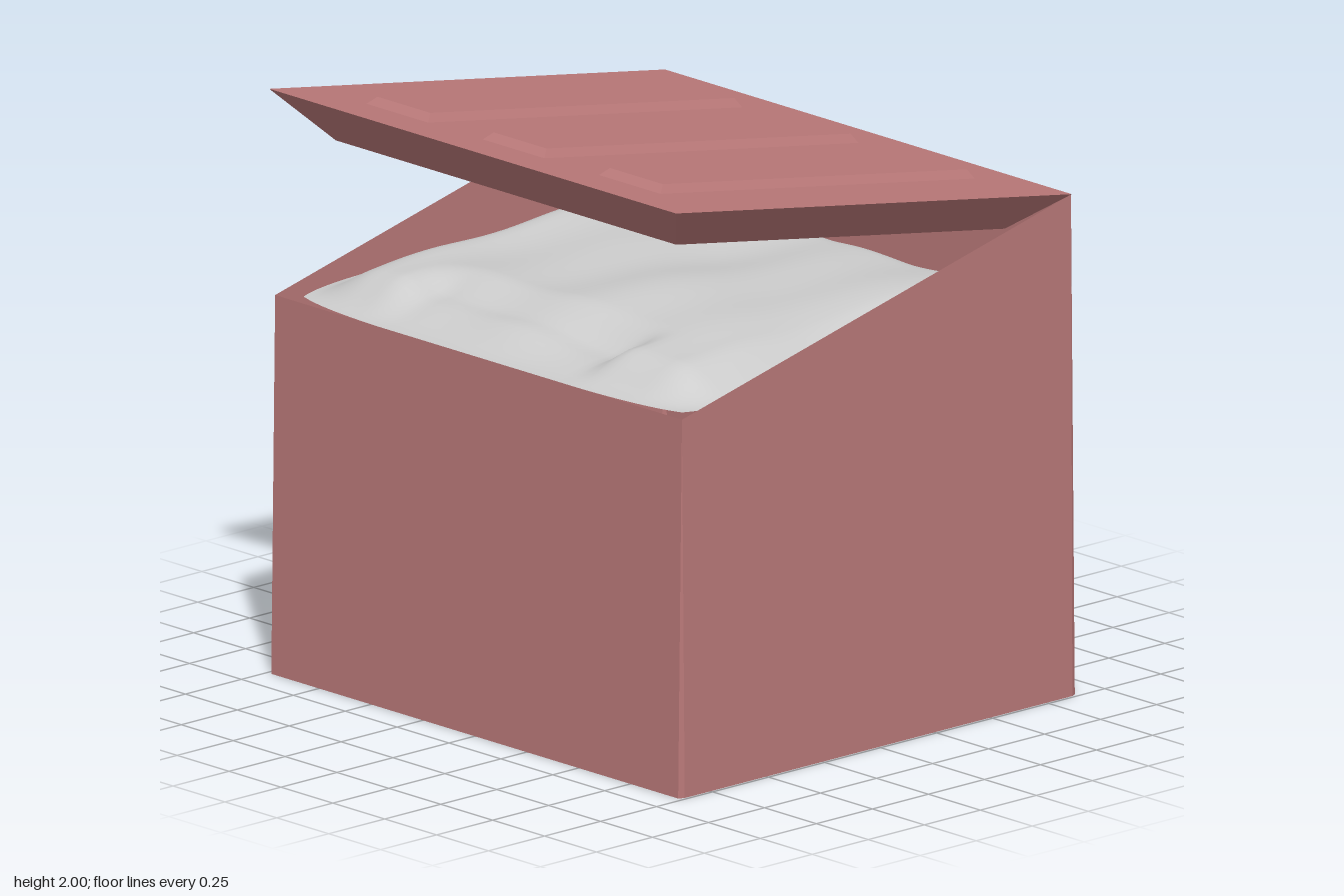
import * as THREE from 'three';

const red = new THREE.MeshStandardMaterial({ color: 0xba7979, side: THREE.DoubleSide });
const grey = new THREE.MeshStandardMaterial({ color: 0xcccccc, side: THREE.DoubleSide });

// Flat-faced loft through rings of [x, y, z], counter-clockwise seen from above
function loft(low, high, capLow, capHigh) {
  const pos = [];
  const tri = (a, b, c) => pos.push(...a, ...b, ...c);
  const n = low.length;
  for (let i = 0; i < n; i++) {
    const j = (i + 1) % n;
    tri(low[i], low[j], high[j]);
    tri(low[i], high[j], high[i]);
  }
  for (let i = 1; i < n - 1; i++) {
    if (capHigh) tri(high[0], high[i], high[i + 1]);
    if (capLow) tri(low[0], low[i + 1], low[i]);
  }
  const g = new THREE.BufferGeometry();
  g.setAttribute('position', new THREE.Float32BufferAttribute(pos, 3));
  g.computeVertexNormals();
  return g;
}

const rect = (x0, x1, z0, z1, y) => [[x1, y, z1], [x1, y, z0], [x0, y, z0], [x0, y, z1]];

function part(name, geometry, material) {
  const m = new THREE.Mesh(geometry, material);
  m.name = name;
  return m;
}

// Open-bottomed walls: narrow corner bevels fade out towards the sloping rim
function makeWalls() {
  const corners = [[1, 1], [1, -1], [-1, -1], [-1, 1]];
  const low = [], high = [];
  for (const [sx, sz] of corners) {
    const side = [sx * 0.99, 0, sz * 0.865];
    const end = [sx * 0.98, 0, sz * 0.885];
    low.push(...(sx * sz > 0 ? [end, side] : [side, end]));
    const top = [sx * 0.98, sz > 0 ? 1.29 : 1.71, sz * 0.868];
    high.push(top, top);
  }
  return part('binWalls', loft(low, high, false, false), red);
}

// Tilted lid: tapered tray underneath, three bevelled ribs on top
function makeLid() {
  const lid = new THREE.Group();
  lid.name = 'lid';
  const length = 1.79;
  lid.add(part('lidPanel', loft(
    rect(-0.82, 0.82, 0.13, length - 0.175, -0.145),
    rect(-0.98, 0.98, 0, length, 0), true, true), red));
  for (const x of [-0.565, -0.005, 0.555]) {
    lid.add(part('lidRib', loft(
      rect(x - 0.148, x + 0.148, 0.18, 1.6, 0),
      rect(x - 0.127, x + 0.127, 0.2, 1.575, 0.027), false, true), red));
  }
  lid.position.set(0, 1.71, -0.872);
  lid.rotation.x = -0.1624;
  return lid;
}

// Crumpled sheet filling the bin: raised middle, sloping rim, front dip
function makeBag() {
  const g = new THREE.PlaneGeometry(2, 2, 56, 56).rotateX(-Math.PI / 2);
  const p = g.attributes.position;
  const smooth = THREE.MathUtils.smoothstep;
  for (let i = 0; i < p.count; i++) {
    const u = p.getX(i), v = p.getZ(i);
    const pull = 1 - 0.07 * Math.pow(u * v, 4);
    const x = u * 0.98 * pull, z = v * 0.865 * pull;
    const rise = smooth(1 - Math.abs(u), 0, 0.27) * smooth(1 - Math.abs(v), 0, 0.27);
    const dip = smooth(x, -0.62, -0.45) * (1 - smooth(x, 0.38, 0.52)) * smooth(z, 0.42, 0.62);
    const folds = 0.012 * Math.sin(5 * x + 3 * z) + 0.009 * Math.sin(9 * z - 4 * x + 1)
      + 0.006 * Math.sin(13 * x + 2 * z);
    p.setXYZ(i, x, 1.287 + rise * (0.118 - 0.07 * dip + folds), z);
  }
  g.computeVertexNormals();
  return part('rubbishBag', g, grey);
}

export function createModel() {
  const model = new THREE.Group();
  model.name = 'wasteBin';
  model.add(makeWalls(), makeLid(), makeBag());
  return model;
}
